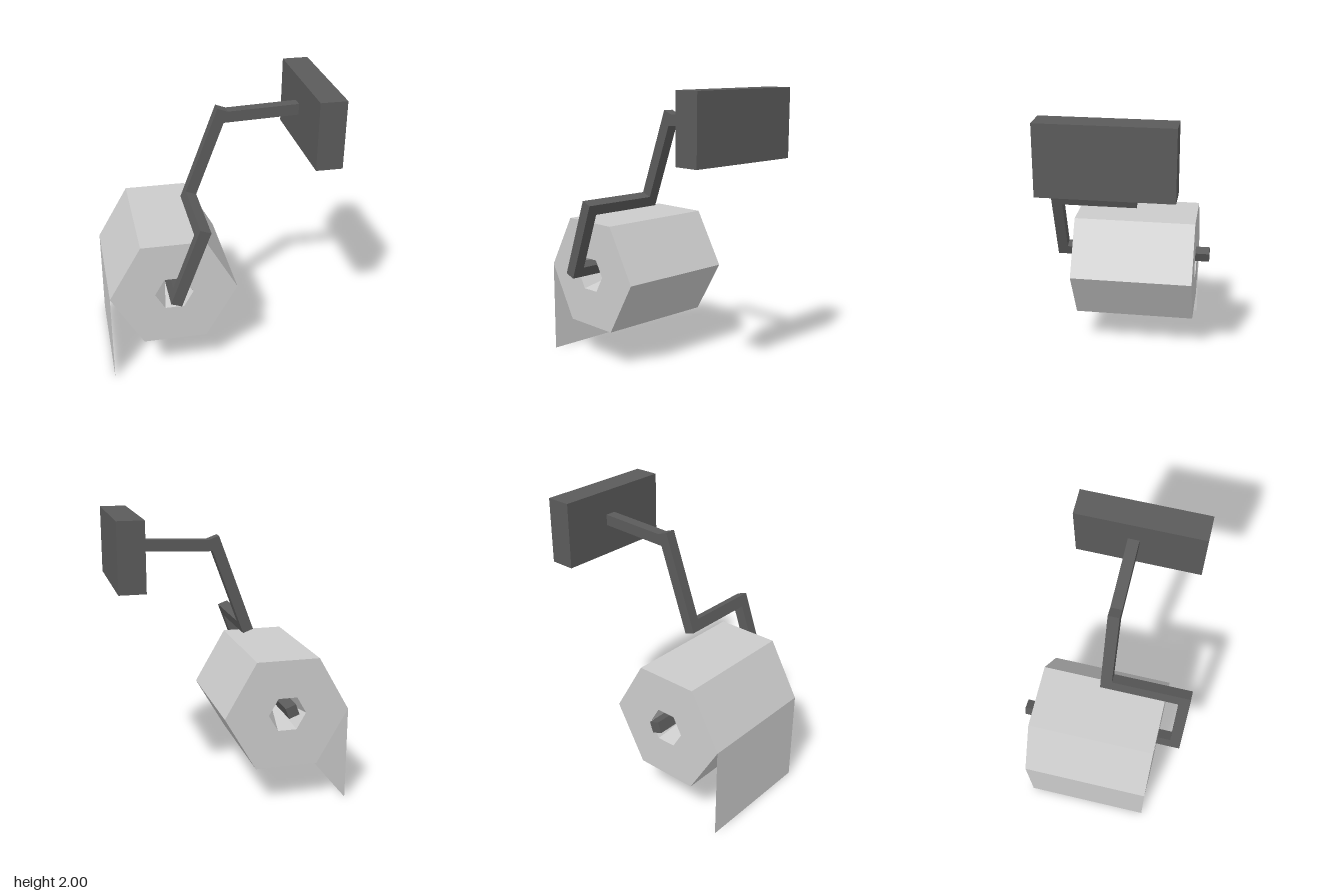
import * as THREE from 'three';

const paper = new THREE.MeshStandardMaterial({ color: 0xcccccc, flatShading: true, side: THREE.DoubleSide });
paper.name = 'paper grey';
const metal = new THREE.MeshStandardMaterial({ color: 0x5b5b5b, flatShading: true });
metal.name = 'dark metal';

const BAR = 0.077; // thickness of the bent bar

function add(parent, name, geometry, material, x = 0, y = 0, z = 0) {
  const mesh = new THREE.Mesh(geometry, material);
  mesh.name = name;
  mesh.position.set(x, y, z);
  parent.add(mesh);
  return mesh;
}

// Box given by its ranges on y and z, as thick as the bar on x
function bar(parent, name, y0, y1, z0, z1) {
  add(parent, name, new THREE.BoxGeometry(BAR, y1 - y0, z1 - z0), metal, 0, (y0 + y1) / 2, (z0 + z1) / 2);
}

// Six-sided core whose back end is turned by two corners
function twistedCore(radius, length) {
  const corner = (k, z) => [radius * Math.cos(k * Math.PI / 3), radius * Math.sin(k * Math.PI / 3), z];
  const front = k => corner(k, length / 2);
  const back = k => corner(k - 2, -length / 2);
  const points = [];
  for (let k = 0; k < 6; k++) {
    points.push(...front(k), ...back(k), ...front(k + 1));
    points.push(...front(k), ...back(k - 1), ...back(k));
  }
  const geometry = new THREE.BufferGeometry();
  geometry.setAttribute('position', new THREE.Float32BufferAttribute(points, 3));
  geometry.computeVertexNormals();
  return geometry;
}

export function createModel() {
  const model = new THREE.Group();
  model.name = 'paperRollHolder';

  // Hexagonal paper roll with an open core
  const R = 0.441, r = 0.133, L = 0.88;
  const roll = new THREE.Group();
  roll.name = 'paperRoll';
  roll.position.set(-0.337, 0.667, -0.035);
  model.add(roll);
  const side = new THREE.CylinderGeometry(R, R, L, 6, 1, true, Math.PI / 6).rotateX(Math.PI / 2);
  add(roll, 'rollSide', side, paper);
  add(roll, 'rollFront', new THREE.RingGeometry(r, R, 6, 1), paper, 0, 0, L / 2);
  add(roll, 'rollBack', new THREE.RingGeometry(r, R, 6, 1).rotateY(Math.PI), paper, 0, 0, -L / 2);
  add(roll, 'rollCore', twistedCore(r, L), paper);

  // Loose sheet hanging from the outer corner
  const sheet = new THREE.PlaneGeometry(L, 0.667).rotateY(-Math.PI / 2);
  add(roll, 'hangingSheet', sheet, paper, -R, -0.3335, 0);

  // Bent bar, leaning towards the wall plate
  const arm = new THREE.Group();
  arm.name = 'bentBar';
  arm.position.set(-0.336, 0.722, 0);
  arm.rotation.z = -Math.asin(0.347);
  model.add(arm);
  const h = BAR / 2;
  bar(arm, 'spindle', -h, h, -0.577, 0.5);
  bar(arm, 'frontArm', -h, 0.5 + h, 0.5, 0.577);
  bar(arm, 'crossBar', 0.5 - h, 0.5 + h, 0.029, 0.5);
  bar(arm, 'upperArm', 0.5 - h, 1.173, -0.048, 0.029);

  // Near-level arm reaching the wall plate
  const reach = add(model, 'wallArm', new THREE.BoxGeometry(0.55, BAR, BAR), metal, 0.335, 1.779, -0.0095);
  reach.rotation.z = 0.035;

  // Wall plate
  add(model, 'wallPlate', new THREE.BoxGeometry(0.18, 0.465, 0.87), metal, 0.686, 1.7675, 0.03);

  return model;
}
